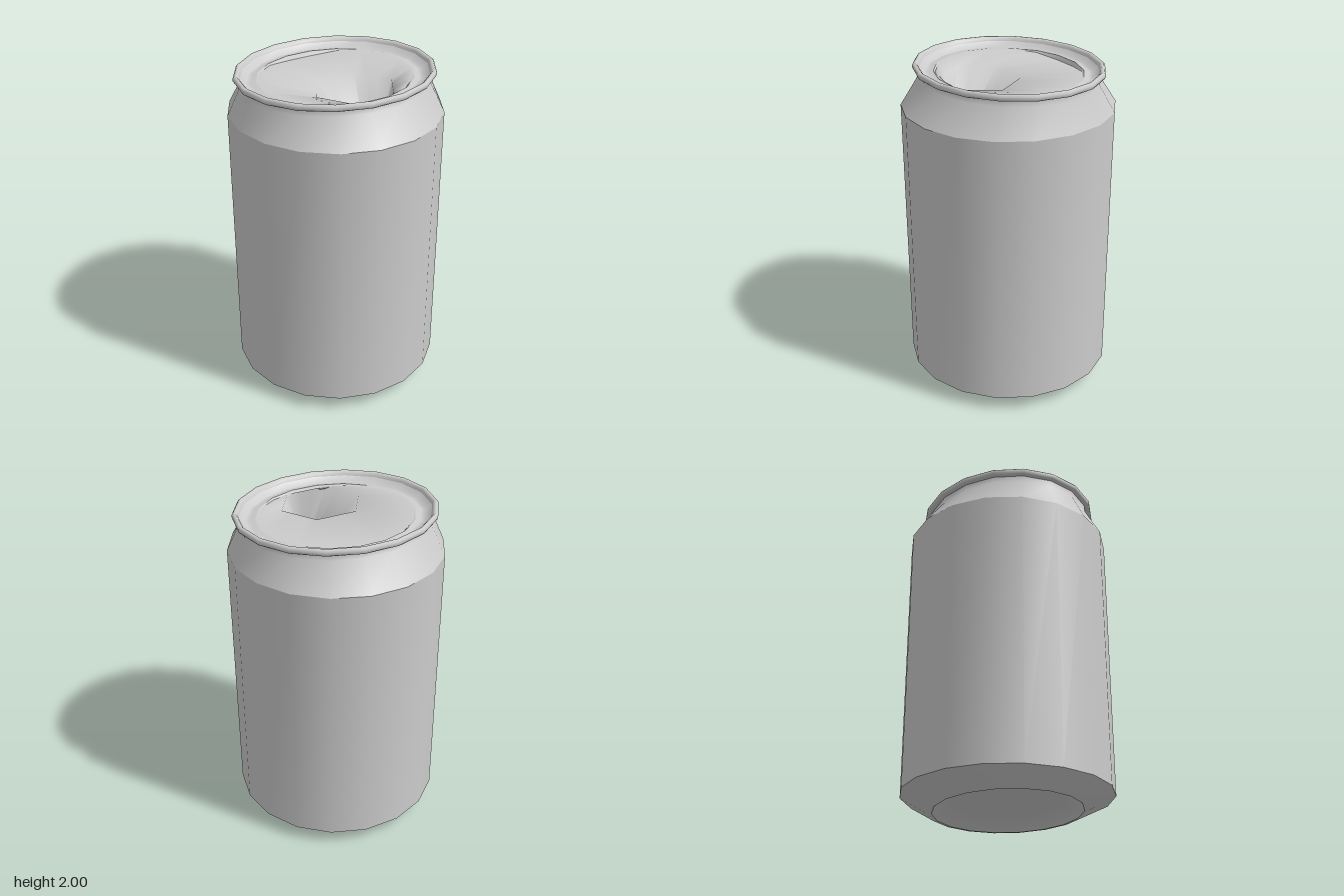
import * as THREE from 'three';

const SIDES = 18;
const material = new THREE.MeshStandardMaterial({ color: 0xcccccc, side: THREE.DoubleSide });

// A closed ring of points; rx, rz are its half axes, y may depend on the angle.
function ring(rx, rz, y, cz = 0, hexagonal = false) {
  return Array.from({ length: SIDES }, (_, k) => {
    const a = (k / SIDES) * Math.PI * 2;
    const sector = (a + 1e-6) % (Math.PI / 3);
    const r = hexagonal ? Math.cos(Math.PI / 6) / Math.cos(sector - Math.PI / 6) : 1;
    return [rx * r * Math.cos(a), typeof y === 'function' ? y(a) : y, cz + rz * r * Math.sin(a)];
  });
}

// Skin over successive rings, smooth within one part; optional flat end on the first or last ring.
function loft(name, rings, cap) {
  const index = [];
  for (let i = 0; i < rings.length - 1; i++) {
    for (let k = 0; k < SIDES; k++) {
      const n = (k + 1) % SIDES;
      const a = i * SIDES + k, b = i * SIDES + n;
      const c = a + SIDES, d = b + SIDES;
      index.push(a, c, b, b, c, d);
    }
  }
  const points = rings.flat();
  if (cap) {
    const end = cap === 'first' ? rings[0] : rings[rings.length - 1];
    const start = cap === 'first' ? 0 : (rings.length - 1) * SIDES;
    const centre = [0, 1, 2].map((j) => end.reduce((s, p) => s + p[j], 0) / SIDES);
    points.push(centre);
    for (let k = 0; k < SIDES; k++) {
      const a = start + k, b = start + ((k + 1) % SIDES), m = points.length - 1;
      if (cap === 'first') index.push(m, a, b);
      else index.push(m, b, a);
    }
  }
  const geometry = new THREE.BufferGeometry();
  geometry.setAttribute('position', new THREE.Float32BufferAttribute(points.flat(), 3));
  geometry.setIndex(index);
  geometry.computeVertexNormals();
  const mesh = new THREE.Mesh(geometry, material);
  mesh.name = name;
  return mesh;
}

export function createModel() {
  const can = new THREE.Group();
  can.name = 'drinkCan';

  // Domed underside, standing edge and lower bevel
  can.add(loft('baseDome', [
    ring(0.2, 0.18, 0.085), ring(0.36, 0.33, 0.065), ring(0.44, 0.4, 0.03), ring(0.48, 0.435, 0),
  ], 'first'));
  can.add(loft('baseBevel', [
    ring(0.48, 0.435, 0), ring(0.51, 0.46, 0.004), ring(0.633, 0.633, 0.09),
  ]));

  // Straight wall, shoulder and neck
  can.add(loft('wall', [ring(0.633, 0.633, 0.09), ring(0.633, 0.633, 1.76)]));
  can.add(loft('shoulder', [
    ring(0.633, 0.633, 1.76), ring(0.567, 0.513, 1.925), ring(0.567, 0.513, 1.97),
  ]));

  // Rolled rim
  can.add(loft('rim', [
    ring(0.567, 0.513, 1.964), ring(0.594, 0.537, 1.965), ring(0.6, 0.543, 1.975),
    ring(0.6, 0.543, 1.99), ring(0.592, 0.535, 2), ring(0.578, 0.521, 2),
    ring(0.569, 0.512, 1.99), ring(0.563, 0.506, 1.975),
  ]));

  // Lid: sunken panel with a small step at the ends and a slanting mouth
  const step = (a) => 1.955 - 0.03 * Math.sin(a) ** 8;
  can.add(loft('lidEdge', [
    ring(0.563, 0.506, 1.975), ring(0.53, 0.475, 1.945), ring(0.5, 0.45, 1.95), ring(0.47, 0.425, 1.955),
  ]));
  can.add(loft('lidStep', [ring(0.47, 0.425, 1.955), ring(0.462, 0.414, step)]));
  can.add(loft('lidPanel', [
    ring(0.462, 0.414, step),
    ring(0.25, 0.23, 1.945, 0.2, true),
    ring(0.075, 0.075, 1.65, 0.342, true),
  ]));
  can.add(loft('mouthFloor', [
    ring(0.075, 0.075, 1.65, 0.342, true), ring(0.04, 0.04, 1.65, 0.342, true),
  ], 'last'));

  return can;
}
